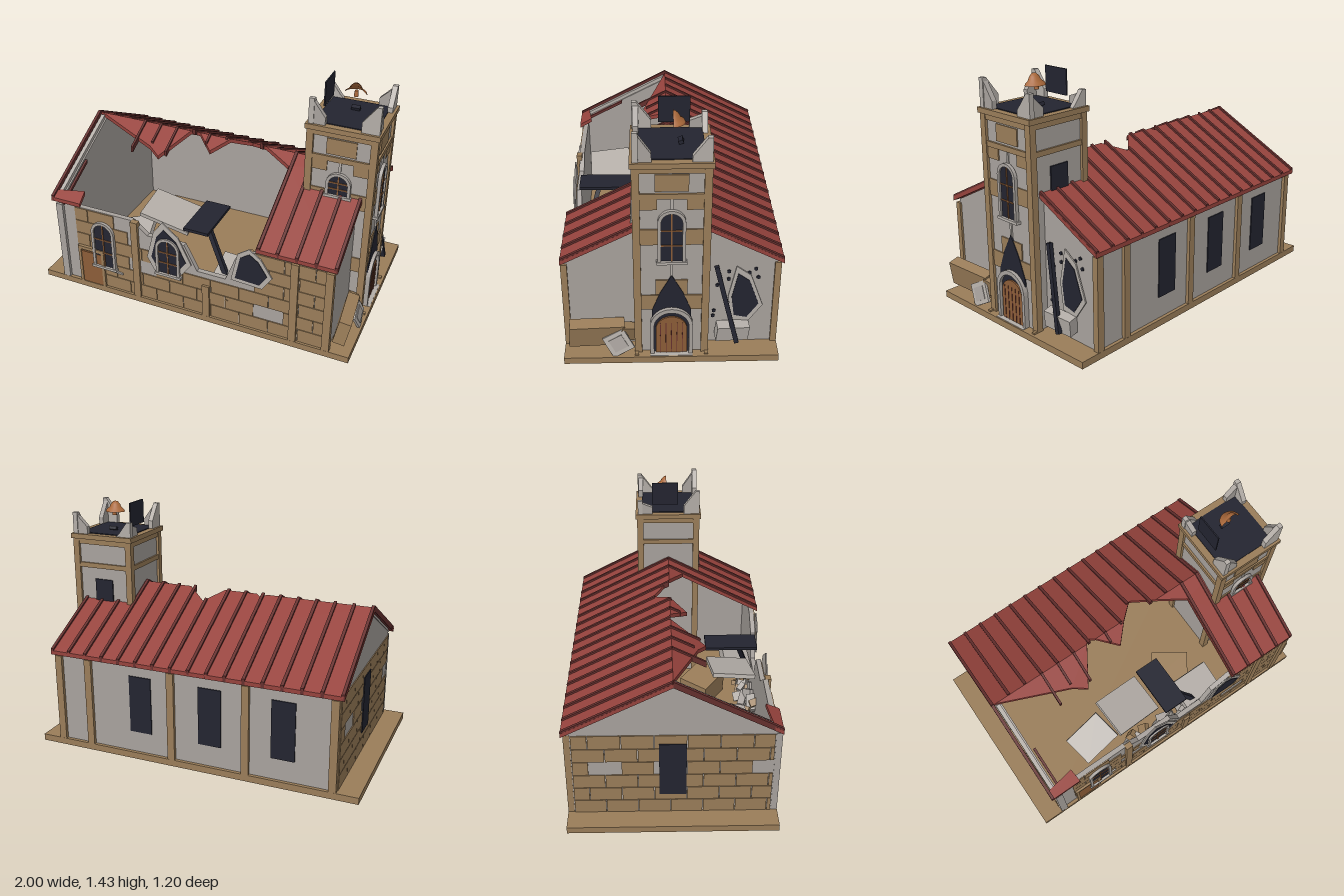
import * as THREE from 'three';

const mat = (name, color, side = THREE.FrontSide) => {
  const m = new THREE.MeshStandardMaterial({ color, side });
  m.name = name;
  return m;
};

export function createModel() {
  const grey = mat('plaster grey', 0xa8a29d), tan = mat('sandstone', 0x9a7d59);
  const red = mat('roof red', 0x96433d), rib = mat('roof rib red', 0x65302e);
  const dark = mat('dark opening', 0x232430), wood = mat('door wood', 0x8c5d38);
  const bronze = mat('bell bronze', 0xa9683a, THREE.DoubleSide), pale = mat('pale stone', 0xb4aea8);
  const root = new THREE.Group();
  root.name = 'ruinedChapel';

  let seed = 7;
  const rnd = () => (seed = (seed * 16807) % 2147483647) / 2147483647;
  const add = (g, name, geo, m, p = [0, 0, 0], r = [0, 0, 0]) => {
    const mesh = new THREE.Mesh(geo, m);
    mesh.name = name;
    mesh.position.set(...p);
    mesh.rotation.set(...r);
    g.add(mesh);
    return mesh;
  };
  const box = (g, name, m, w, h, d, p, r) => add(g, name, new THREE.BoxGeometry(w, h, d), m, p, r);
  const poly = (pts) => new THREE.Shape(pts.map((p) => new THREE.Vector2(...p)));
  const slab = (shape, depth) => new THREE.ExtrudeGeometry(shape, { depth, bevelEnabled: false, curveSegments: 8 });
  const group = (name, parent = root) => {
    const g = new THREE.Group();
    g.name = name;
    parent.add(g);
    return g;
  };
  // round-headed outline, w wide, from y0 up to y1
  const arch = (x, w, y0, y1) => {
    const s = new THREE.Shape(), r = w / 2;
    s.moveTo(x - r, y0);
    s.lineTo(x + r, y0);
    s.lineTo(x + r, y1 - r);
    s.absarc(x, y1 - r, r, 0, Math.PI, false);
    s.closePath();
    return s;
  };
  // dark pane, stone surround, glazing bars and sill on a wall facing +z
  const archWindow = (parent, x, w, y0, y1, z) => {
    const g = group('archedWindow', parent);
    add(g, 'pane', slab(arch(x, w, y0, y1), 0.006), dark, [0, 0, z + 0.006]);
    const frame = arch(x, w + 0.035, y0, y1 + 0.018);
    frame.holes.push(arch(x, w, y0 + 0.001, y1));
    add(g, 'surround', slab(frame, 0.02), grey, [0, 0, z + 0.002]);
    box(g, 'mullion', wood, 0.007, y1 - y0, 0.006, [x, (y0 + y1) / 2, z + 0.014]);
    for (const t of [0.35, 0.65]) box(g, 'glazingBar', wood, w, 0.007, 0.006, [x, y0 + t * (y1 - y0), z + 0.014]);
    box(g, 'sill', pale, w + 0.05, 0.016, 0.03, [x, y0, z + 0.012]);
  };
  // staggered masonry tiles, trimmed under a height rule
  const bricks = (parent, x0, x1, y0, y1, z, gap, top = () => 9) => {
    const g = group('stonework', parent);
    for (let y = y0, row = 0; y < y1 - 0.02; y += 0.09, row++) {
      for (let x = x0 - (row % 2) * 0.09; x < x1; x += 0.18) {
        const a = Math.max(x, x0), b = Math.min(x + 0.176, x1), h = Math.min(0.086, y1 - y);
        if (rnd() < gap || b - a < 0.02 || y + h > Math.min(top(a), top(b)) + 0.01) continue;
        box(g, 'brick', tan, b - a, h, 0.008, [(a + b) / 2, y + h / 2, z]);
      }
    }
  };
  // broken hole: pale rim with a dark core
  const breach = (parent, pts, cx, cy, z) => {
    const g = group('wallBreach', parent);
    add(g, 'rim', slab(poly(pts), 0.008), pale, [0, 0, z + 0.006]);
    add(g, 'core', slab(poly(pts.map(([x, y]) => [cx + (x - cx) * 0.78, cy + (y - cy) * 0.78])), 0.006), dark, [0, 0, z + 0.011]);
  };

  // ground slab
  box(root, 'base', tan, 2, 0.04, 1.18, [0, 0.02, 0]);

  // long walls, front one with a collapsed top edge
  const walls = group('walls');
  box(walls, 'backWall', grey, 1.74, 0.57, 0.03, [0, 0.325, -0.555]);
  const crest = [[-0.87, 0.58], [-0.36, 0.58], [-0.26, 0.5], [-0.02, 0.5], [0.06, 0.34], [0.24, 0.34], [0.3, 0.5], [0.43, 0.58], [0.87, 0.58]];
  const crestAt = (x) => {
    const i = Math.max(1, crest.findIndex((p) => p[0] >= x));
    const [a, b] = [crest[i - 1], crest[i]];
    return a[1] + ((x - a[0]) / (b[0] - a[0])) * (b[1] - a[1]);
  };
  add(walls, 'frontWall', slab(poly([[-0.87, 0.04], [0.87, 0.04], ...[...crest].reverse()]), 0.03), grey, [0, 0, 0.54]);
  bricks(walls, -0.75, 0.87, 0.04, 0.58, 0.572, 0.15, crestAt);

  // gable ends
  const gable = poly([[-0.57, 0.04], [0.57, 0.04], [0.57, 0.6], [0, 0.895], [-0.57, 0.6]]);
  for (const x of [-0.87, 0.84]) add(walls, 'gableWall', slab(gable, 0.03), grey, [x, 0, 0], [0, Math.PI / 2, 0]);
  const west = group('westFace', walls);
  west.rotation.y = -Math.PI / 2;
  bricks(west, -0.55, 0.55, 0.04, 0.6, 0.872, 0.12);
  box(west, 'window', dark, 0.15, 0.35, 0.009, [0, 0.345, 0.877]);
  for (const x of [-0.56, -0.12, 0.32]) box(walls, 'rearWindow', dark, 0.14, 0.35, 0.009, [x, 0.345, -0.572]);

  // buttress posts
  for (const s of [-1, 1]) {
    for (const x of [-0.85, -0.34, 0.12, 0.66, 0.86]) {
      const h = s > 0 && x === 0.12 ? 0.22 : 0.54;
      box(walls, 'post', s > 0 && x === -0.85 ? grey : tan, 0.045, h, 0.035, [x, 0.04 + h / 2, s * 0.572]);
    }
  }

  // front openings
  breach(walls, [[-0.2, 0.25], [-0.06, 0.26], [0.03, 0.38], [-0.05, 0.55], [-0.15, 0.63], [-0.21, 0.55], [-0.26, 0.36]], -0.12, 0.42, 0.571);
  breach(walls, [[0.28, 0.36], [0.47, 0.35], [0.53, 0.44], [0.46, 0.55], [0.39, 0.6], [0.32, 0.55]], 0.4, 0.46, 0.571);
  archWindow(walls, -0.56, 0.12, 0.19, 0.5, 0.572);
  archWindow(walls, -0.12, 0.12, 0.27, 0.51, 0.576);
  box(walls, 'sideDoor', wood, 0.14, 0.23, 0.012, [-0.655, 0.155, 0.58]);
  for (const x of [-0.735, -0.575]) box(walls, 'doorJamb', tan, 0.018, 0.26, 0.022, [x, 0.17, 0.579]);
  box(walls, 'doorLintel', tan, 0.18, 0.022, 0.022, [-0.655, 0.295, 0.579]);

  // roof: outlines in (x, z) lifted onto the two slopes
  const roof = group('roof');
  const sheet = (name, m, pts, y0, t) => {
    const geo = slab(poly(pts.map(([x, z]) => [x, -z])), t).rotateX(-Math.PI / 2);
    const p = geo.attributes.position;
    for (let i = 0; i < p.count; i++) p.setY(i, p.getY(i) + y0 - 0.52 * Math.abs(p.getZ(i)));
    geo.computeVertexNormals();
    return add(roof, name, geo, m);
  };
  sheet('rearSlope', red, [[-0.9, -0.6], [0.9, -0.6], [0.9, 0], [0.255, 0], [0.13, -0.1], [0.025, 0], [-0.18, 0], [-0.22, -0.03], [-0.24, 0], [-0.9, 0]], 0.9, 0.025);
  sheet('frontSlope', red, [[0.255, 0], [0.9, 0], [0.9, 0.59], [0.43, 0.59], [0.43, 0.09]], 0.9, 0.025);
  sheet('tornEdge', red, [[-0.87, 0], [-0.24, 0], [-0.37, 0.2], [-0.45, 0.15]], 0.9, 0.025);
  sheet('tornTooth', red, [[-0.18, 0], [0.025, 0], [-0.07, 0.1]], 0.9, 0.025);
  sheet('eaveRemnant', red, [[-0.9, 0.54], [-0.71, 0.51], [-0.7, 0.59], [-0.9, 0.59]], 0.9, 0.025);
  const strip = (x, z0, z1, w = 0.018) => sheet('rib', rib, [[x - w / 2, z0], [x + w / 2, z0], [x + w / 2, z1], [x - w / 2, z1]], 0.9, 0.037);
  const cut = { 4: 0.13, 5: 0.17, 7: 0.06, 8: 0.01, 3: 0.19 };
  for (let i = 0; i < 17; i++) {
    const x = -0.89 + i * 0.11125;
    strip(x, -0.6, Math.abs(x - 0.13) < 0.06 ? -0.09 : -0.001);
    if (x > 0.43 || i === 0) strip(x, 0.001, 0.59);
    else if (cut[i]) strip(x, 0.001, cut[i], 0.014);
  }
  sheet('gableRafter', pale, [[-0.875, 0.01], [-0.85, 0.01], [-0.85, 0.56], [-0.875, 0.56]], 0.89, 0.03);
  sheet('looseRafter', rib, [[-0.83, 0.3], [-0.815, 0.3], [-0.815, 0.58], [-0.83, 0.58]], 0.88, 0.02);

  // bell tower
  const tower = group('tower');
  tower.position.x = 0.76;
  box(tower, 'shaft', grey, 0.37, 1.18, 0.37, [0, 0.62, 0]);
  for (const x of [-1, 1]) for (const z of [-1, 1]) box(tower, 'cornerPost', tan, 0.04, 1.2, 0.04, [x * 0.181, 0.62, z * 0.181]);
  box(tower, 'cornice', tan, 0.42, 0.03, 0.42, [0, 1.225, 0]);
  box(tower, 'deck', dark, 0.34, 0.006, 0.34, [0, 1.242, 0]);
  for (let i = 0; i < 4; i++) {
    const face = group('towerFace', tower);
    face.rotation.y = (i * Math.PI) / 2;
    box(face, 'stringCourse', tan, 0.33, 0.03, 0.02, [0, 1.045, 0.187]);
    box(face, 'topCourse', tan, 0.33, 0.035, 0.02, [0, 1.195, 0.187]);
    if (i > 1) {
      if (i === 2) box(face, 'window', dark, 0.12, 0.16, 0.009, [0, 0.88, 0.189]);
      continue;
    }
    box(face, 'upperStone', tan, 0.17, 0.095, 0.008, [0, 1.12, 0.188]);
    for (const y of [0.8, 0.38]) box(face, 'band', tan, 0.33, 0.095, 0.008, [0, y, 0.188]);
    for (const x of [-0.12, 0.12]) box(face, 'bandStone', tan, 0.09, 0.07, 0.008, [x, 1.0, 0.188]);
    box(face, 'lowerStone', tan, 0.17, 0.095, 0.008, [0, 0.48, 0.188]);
    for (const y of [0.59, 1.0]) box(face, 'pilaster', pale, 0.014, 0.1, 0.01, [0, y, 0.188]);
    archWindow(face, 0, 0.11, i ? 0.65 : 0.82, 0.95, 0.188);
  }

  // entrance in the tower's east face
  const entry = group('entrance', tower);
  entry.rotation.y = Math.PI / 2;
  add(entry, 'gableVoid', slab(poly([[-0.105, 0.04], [0.105, 0.04], [0.105, 0.33], [0.06, 0.45], [0, 0.56], [-0.06, 0.45], [-0.105, 0.33]]), 0.009), dark, [0, 0, 0.187]);
  const surround = arch(0, 0.23, 0.04, 0.35);
  surround.holes.push(arch(0, 0.19, 0.041, 0.325));
  add(entry, 'doorSurround', slab(surround, 0.03), grey, [0, 0, 0.186]);
  add(entry, 'door', slab(arch(0, 0.17, 0.04, 0.29), 0.012), wood, [0, 0, 0.193]);
  for (let x = -0.06; x < 0.07; x += 0.03) box(entry, 'plankGap', rib, 0.003, 0.21, 0.003, [x, 0.145, 0.206]);
  box(entry, 'step', pale, 0.23, 0.015, 0.045, [0, 0.035, 0.21]);
  for (const x of [-0.19, 0.19]) box(entry, 'threshold', tan, 0.02, 0.04, 0.03, [x, 0.03, 0.21]);

  // broken corner parapets
  for (let i = 0; i < 4; i++) {
    const corner = group('parapetCorner', tower);
    corner.rotation.y = (i * Math.PI) / 2;
    const h = [1.4, 1.37, 1.33, 1.39][i];
    const piece = poly([[0.1, 1.24], [0.2, 1.24], [0.2, h], [0.175, h], [0.1, h - 0.1]]);
    add(corner, 'merlon', slab(piece, 0.03), pale, [0, 0, 0.165]);
    add(corner, 'returnMerlon', slab(poly([[-0.165, 1.24], [-0.1, 1.24], [-0.1, 1.285], [-0.165, h - 0.02]]), 0.03), grey, [0.165, 0, 0], [0, Math.PI / 2, 0]);
  }

  // half bell, clapper and hanging board
  const bell = group('bell', tower);
  bell.position.set(0, 1.36, -0.01);
  const profile = [[0.064, 0], [0.058, 0.012], [0.04, 0.025], [0.03, 0.045], [0.015, 0.06], [0, 0.063]].map((p) => new THREE.Vector2(...p));
  add(bell, 'bellShell', new THREE.LatheGeometry(profile, 12, Math.PI / 2, Math.PI), bronze);
  add(bell, 'clapper', new THREE.CylinderGeometry(0.01, 0.014, 0.035, 8), bronze, [0, -0.005, -0.02]);
  box(tower, 'brokenBoard', dark, 0.008, 0.145, 0.165, [-0.15, 1.36, -0.02]);
  box(tower, 'deckBeam', dark, 0.05, 0.02, 0.025, [0, 1.258, -0.05], [0.4, 0, 0]);

  // fallen roof slabs and beam inside
  const rubble = group('rubble');
  box(rubble, 'fallenSlab', pale, 0.31, 0.025, 0.25, [-0.2, 0.56, 0.36], [0.1, 0.05, -0.25]);
  box(rubble, 'lowerSlab', pale, 0.26, 0.03, 0.2, [-0.47, 0.35, 0.36], [0.3, 0.2, 0.25]);
  box(rubble, 'leaningSlab', pale, 0.27, 0.06, 0.18, [0.28, 0.31, 0.44], [0.25, 0, -0.08]);
  box(rubble, 'stoneBlock', tan, 0.24, 0.16, 0.2, [0.25, 0.13, 0.22], [0.1, -0.6, 0.1]);
  box(rubble, 'darkPanel', dark, 0.155, 0.018, 0.32, [0.04, 0.59, 0.38]);
  const a = new THREE.Vector3(0.06, 0.58, 0.42), b = new THREE.Vector3(0.32, 0.14, 0.56);
  const beam = box(rubble, 'fallenBeam', dark, 0.028, a.distanceTo(b), 0.028, a.clone().lerp(b, 0.5).toArray());
  beam.quaternion.setFromUnitVectors(new THREE.Vector3(0, 1, 0), a.clone().sub(b).normalize());
  for (let i = 0; i < 34; i++) {
    const x = -0.3 + rnd() * 0.66, y = 0.06 + rnd() * 0.18 * (1 - Math.abs(x) * 1.4);
    box(rubble, 'shard', [pale, tan, grey][i % 3], 0.05 + rnd() * 0.08, 0.02 + rnd() * 0.04, 0.03 + rnd() * 0.03,
      [x, y, 0.46 + rnd() * 0.08], [rnd() - 0.5, rnd() - 0.5, rnd() * 2 - 1]);
  }
  box(rubble, 'sillShard', pale, 0.18, 0.012, 0.03, [-0.53, 0.175, 0.57], [0, 0, -0.06]);

  // east wall damage and debris
  const east = group('eastFace');
  east.rotation.y = Math.PI / 2;
  breach(east, [[0.33, 0.2], [0.42, 0.18], [0.5, 0.3], [0.43, 0.5], [0.35, 0.56], [0.31, 0.36]], 0.395, 0.35, 0.87);
  for (const [x, y] of [[0.31, 0.52], [0.36, 0.53], [0.42, 0.51], [0.455, 0.535], [0.47, 0.48], [0.25, 0.43], [0.235, 0.255], [0.23, 0.22], [0.31, 0.47]])
    add(east, 'chip', new THREE.CylinderGeometry(0.011, 0.011, 0.008, 6), dark, [x, y, 0.873], [Math.PI / 2, 0, 0]);
  box(east, 'fallenBeam', dark, 0.025, 0.49, 0.025, [0.3, 0.33, 0.92], [-0.12, 0, 0.24]);
  box(east, 'paleBlock', pale, 0.18, 0.1, 0.06, [0.335, 0.145, 0.91], [0.15, 0.1, -0.08]);
  box(east, 'stoneBlock', tan, 0.3, 0.15, 0.07, [-0.41, 0.16, 0.925], [0.2, 0.1, -0.08]);
  box(east, 'stoneWedge', tan, 0.12, 0.1, 0.05, [-0.24, 0.15, 0.91], [0.3, 0.3, -0.5]);
  box(east, 'brokenFrame', pale, 0.13, 0.13, 0.015, [-0.29, 0.115, 0.965], [-0.2, 0, 0.5]);
  box(east, 'framePanel', grey, 0.08, 0.08, 0.012, [-0.29, 0.115, 0.97], [-0.2, 0, 0.5]);
  return root;
}
